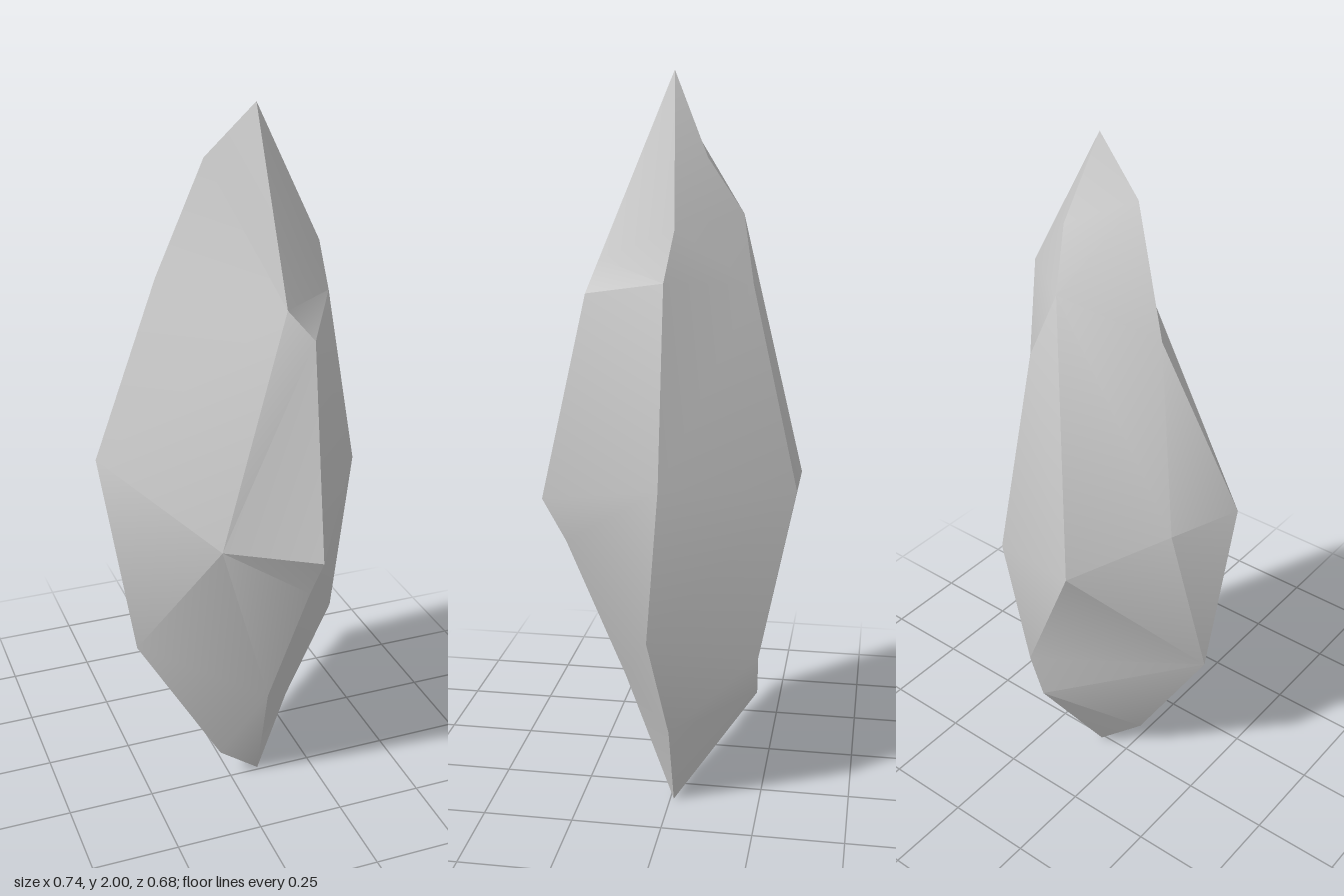
import * as THREE from 'three';
import { toCreasedNormals } from 'three/addons/utils/BufferGeometryUtils.js';

const v = (x, y, z) => new THREE.Vector3(x, y, z);

// Skin between two neighbouring ridges (top to bottom), always taking the shorter diagonal
function bridge(left, right, out) {
  const push = (a, b, c) => {
    if (a !== b && b !== c && c !== a) for (const p of [a, b, c]) out.push(p.x, p.y, p.z);
  };
  let i = 0, j = 0;
  while (i < left.length - 1 || j < right.length - 1) {
    const dl = i < left.length - 1 ? left[i + 1].distanceTo(right[j]) : Infinity;
    const dr = j < right.length - 1 ? right[j + 1].distanceTo(left[i]) : Infinity;
    if (dl < dr) push(left[i], left[++i], right[j]);
    else push(left[i], right[j + 1], right[j++]);
  }
}

export function createModel() {
  // Points of the stone
  const tip = v(0.07, 2, -0.01), base = v(0.09, 0, -0.01);

  // Corners shared by neighbouring ridges
  const sideNotch = v(-0.06, 1.87, -0.03), sideShoulder = v(-0.175, 1.56, -0.085);
  const sideHip = v(-0.28, 0.52, 0), sideFoot = v(-0.04, 0.11, 0.02);
  const frontShoulder = v(0.08, 1.53, 0.187), frontFoot = v(0.065, 0.36, 0.13);
  const backNotch = v(0.11, 1.79, -0.1), backShoulder = v(0.065, 1.65, -0.187);
  const backHip = v(0.155, 0.48, -0.25), backFoot = v(0.115, 0.36, -0.245);

  // Ridges running from tip to base, in order around the stone
  const ridges = [
    [sideNotch, sideShoulder, v(-0.37, 1.11, -0.015), sideHip, sideFoot],
    [frontShoulder, v(-0.12, 0.93, 0.265), frontFoot],
    [frontShoulder, v(0.147, 1.45, 0.21), v(0.13, 0.89, 0.342), v(0.12, 0.77, 0.28), frontFoot],
    [v(0.26, 1.63, -0.04), v(0.28, 1.5, -0.015), v(0.37, 1, -0.015), v(0.295, 0.56, 0.03), v(0.18, 0.25, -0.01)],
    [backNotch, backShoulder, v(0.127, 1.48, -0.22), v(0.147, 0.95, -0.342), backHip, backFoot],
    [backNotch, backShoulder, v(-0.07, 0.94, -0.34), backHip, backFoot],
    [sideNotch, sideShoulder, v(-0.27, 1.065, -0.16), sideHip, sideFoot],
  ].map((r) => [tip, ...r, base]);

  const positions = [];
  ridges.forEach((r, k) => bridge(r, ridges[(k + 1) % ridges.length], positions));

  // Soft facets with the strong edges kept sharp
  const geometry = new THREE.BufferGeometry();
  geometry.setAttribute('position', new THREE.Float32BufferAttribute(positions, 3));
  const shard = new THREE.Mesh(
    toCreasedNormals(geometry, 0.55),
    new THREE.MeshStandardMaterial({ color: 0xcccccc })
  );
  shard.name = 'crystalShard';

  const group = new THREE.Group();
  group.name = 'crystal';
  group.add(shard);
  return group;
}
